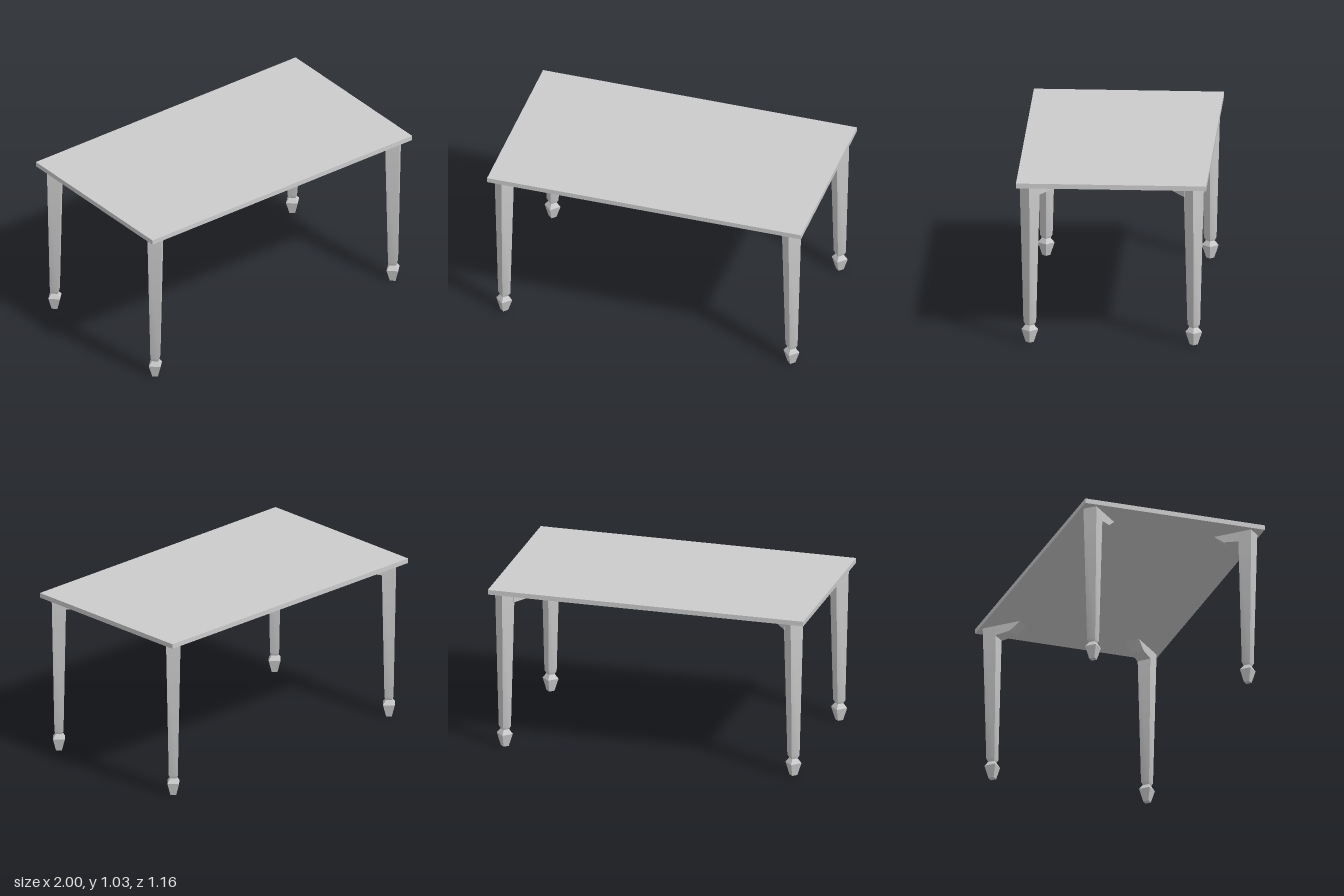
import * as THREE from 'three';
import { toCreasedNormals } from 'three/addons/utils/BufferGeometryUtils.js';

const material = new THREE.MeshStandardMaterial({ color: 0xcccccc });

function mesh(name, geometry) {
  const m = new THREE.Mesh(geometry, material);
  m.name = name;
  return m;
}

// Four-sided turned piece, with its corners on the x and z axes
function squareTurned(profile) {
  const points = profile.map(([r, y]) => new THREE.Vector2(r, y));
  return toCreasedNormals(new THREE.LatheGeometry(points, 4), 0.75);
}

export function createModel() {
  const table = new THREE.Group();
  table.name = 'table';

  // Table top
  const top = mesh('tableTop', new THREE.BoxGeometry(2, 0.03, 1.16));
  top.position.y = 1.015;
  table.add(top);

  // Tapered shaft with a bevelled lower end, and a spade foot
  const shaft = squareTurned([[0, 0.109], [0.027, 0.109], [0.039, 0.13], [0.062, 1], [0, 1]]);
  const foot = squareTurned([[0, 0], [0.025, 0], [0.051, 0.08], [0.027, 0.109], [0, 0.109]]);

  // Corner bracket, as wide as the leg's inner face
  const width = 0.062 * Math.SQRT2;
  const outline = new THREE.Shape([
    [0.038, 1], [0.038, 0.936], [0.044, 0.937], [0.14, 0.95], [0.207, 1],
  ].map(([x, y]) => new THREE.Vector2(x, y)));
  const bracket = new THREE.ExtrudeGeometry(outline, { depth: width, bevelEnabled: false });
  bracket.translate(0, 0, -width / 2);

  // Four legs, each bracket pointing diagonally inward
  for (const sx of [-1, 1]) {
    for (const sz of [-1, 1]) {
      const leg = new THREE.Group();
      leg.name = (sz > 0 ? 'front' : 'back') + (sx > 0 ? 'Left' : 'Right') + 'Leg';
      const brace = mesh('bracket', bracket);
      brace.rotation.y = Math.atan2(sz, -sx);
      leg.add(mesh('shaft', shaft), mesh('foot', foot), brace);
      leg.position.set(sx * 0.915, 0, sz * 0.5);
      table.add(leg);
    }
  }
  return table;
}
